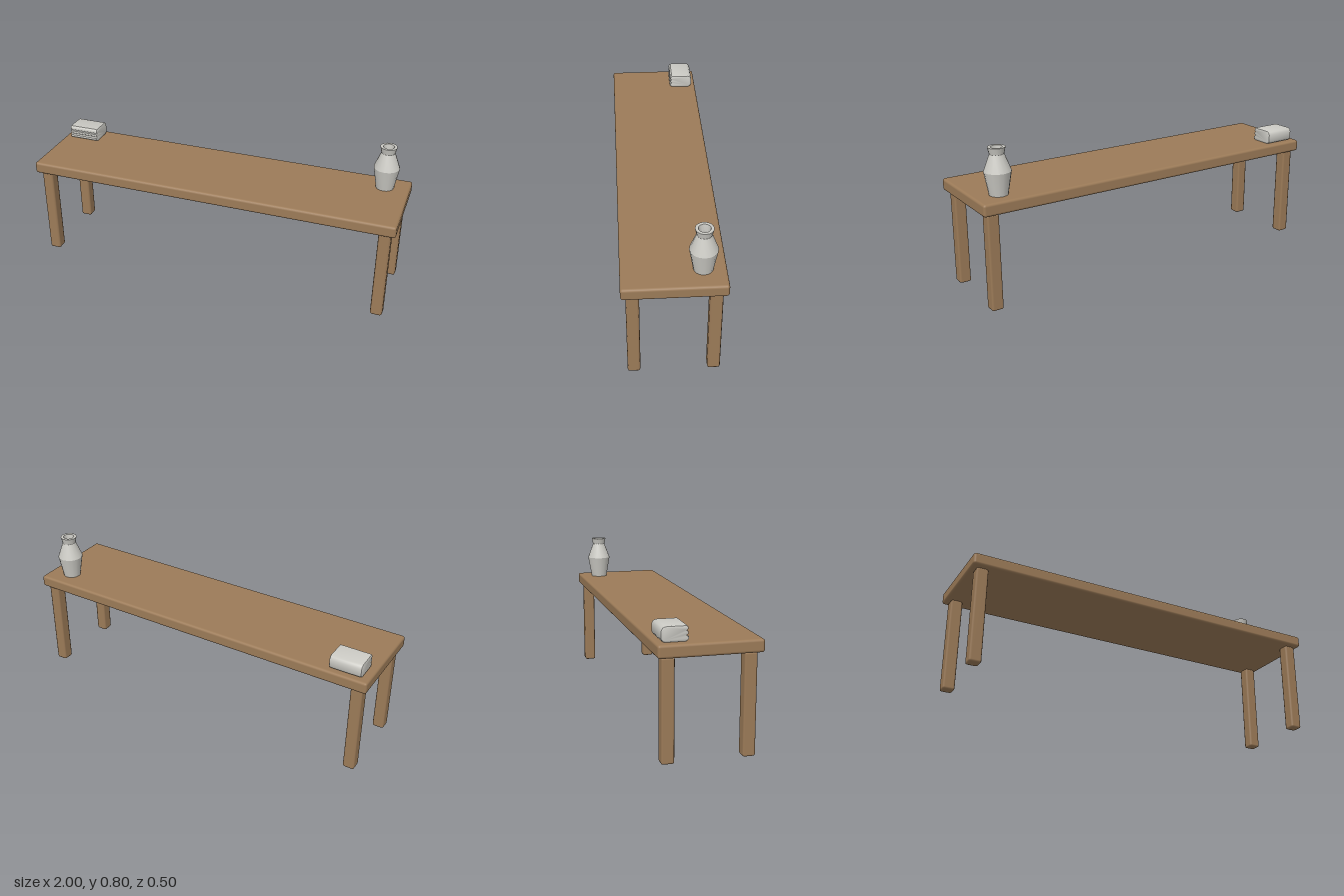
import * as THREE from 'three';
import { RoundedBoxGeometry } from 'three/addons/geometries/RoundedBoxGeometry.js';
import { toCreasedNormals } from 'three/addons/utils/BufferGeometryUtils.js';

export function createModel() {
  const model = new THREE.Group();
  model.name = 'bench';
  const wood = new THREE.MeshStandardMaterial({ name: 'wood', color: 0x9c7b58 });
  const ceramic = new THREE.MeshStandardMaterial({ name: 'paleGrey', color: 0xcbcac4 });

  const add = (name, geometry, material, x, y, z) => {
    const mesh = new THREE.Mesh(geometry, material);
    mesh.name = name;
    mesh.position.set(x, y, z);
    model.add(mesh);
    return mesh;
  };

  // Plank top with softened edges
  const topY = 0.563;
  add('benchTop', new RoundedBoxGeometry(2, 0.063, 0.498, 2, 0.013), wood, 0, 0.5315, 0);

  // Four square legs with chamfered edges
  const legGeometry = new RoundedBoxGeometry(0.063, 0.5, 0.063, 1, 0.011);
  for (const [side, x] of [['Left', 0.943], ['Right', -0.943]]) {
    for (const [end, z] of [['front', 0.194], ['back', -0.194]]) {
      add(`${end}${side}Leg`, legGeometry, wood, x, 0.25, z);
    }
  }

  // Vase: faceted profile, open mouth with a hollow neck
  const vaseProfile = [
    [0, 0], [0.047, 0], [0.068, 0.118], [0.036, 0.203], [0.044, 0.237],
    [0.029, 0.237], [0.024, 0.203], [0.034, 0.15], [0, 0.13],
  ].map(([r, y]) => new THREE.Vector2(r, y));
  const vaseGeometry = toCreasedNormals(new THREE.LatheGeometry(vaseProfile, 16), 0.45);
  add('vase', vaseGeometry, ceramic, 0.87, topY, -0.138);

  // Folded cloth: side profile with two grooves in the front, rounded fold at the back
  const bevel = 0.009;
  const clothProfile = new THREE.Shape([
    [0.056, 0.003], [0.065, 0.010], [0.065, 0.022], [0.057, 0.027],
    [0.057, 0.030], [0.063, 0.034], [0.063, 0.045], [0.057, 0.049],
    [0.057, 0.052], [0.063, 0.056], [0.062, 0.066], [0.054, 0.074],
    [-0.046, 0.074], [-0.058, 0.068], [-0.065, 0.055],
    [-0.065, 0.018], [-0.058, 0.006], [-0.046, 0], [0.05, 0],
  ].map(([z, y]) => new THREE.Vector2(-z, y)));
  const clothGeometry = new THREE.ExtrudeGeometry(clothProfile, {
    depth: 0.17 - 2 * bevel, bevelEnabled: true, bevelThickness: bevel,
    bevelSize: 0.006, bevelOffset: -0.006, bevelSegments: 2,
  });
  clothGeometry.translate(0, 0, -0.085 + bevel);
  clothGeometry.rotateY(Math.PI / 2);
  add('foldedCloth', toCreasedNormals(clothGeometry, 0.7), ceramic, -0.875, topY, -0.16);

  return model;
}
